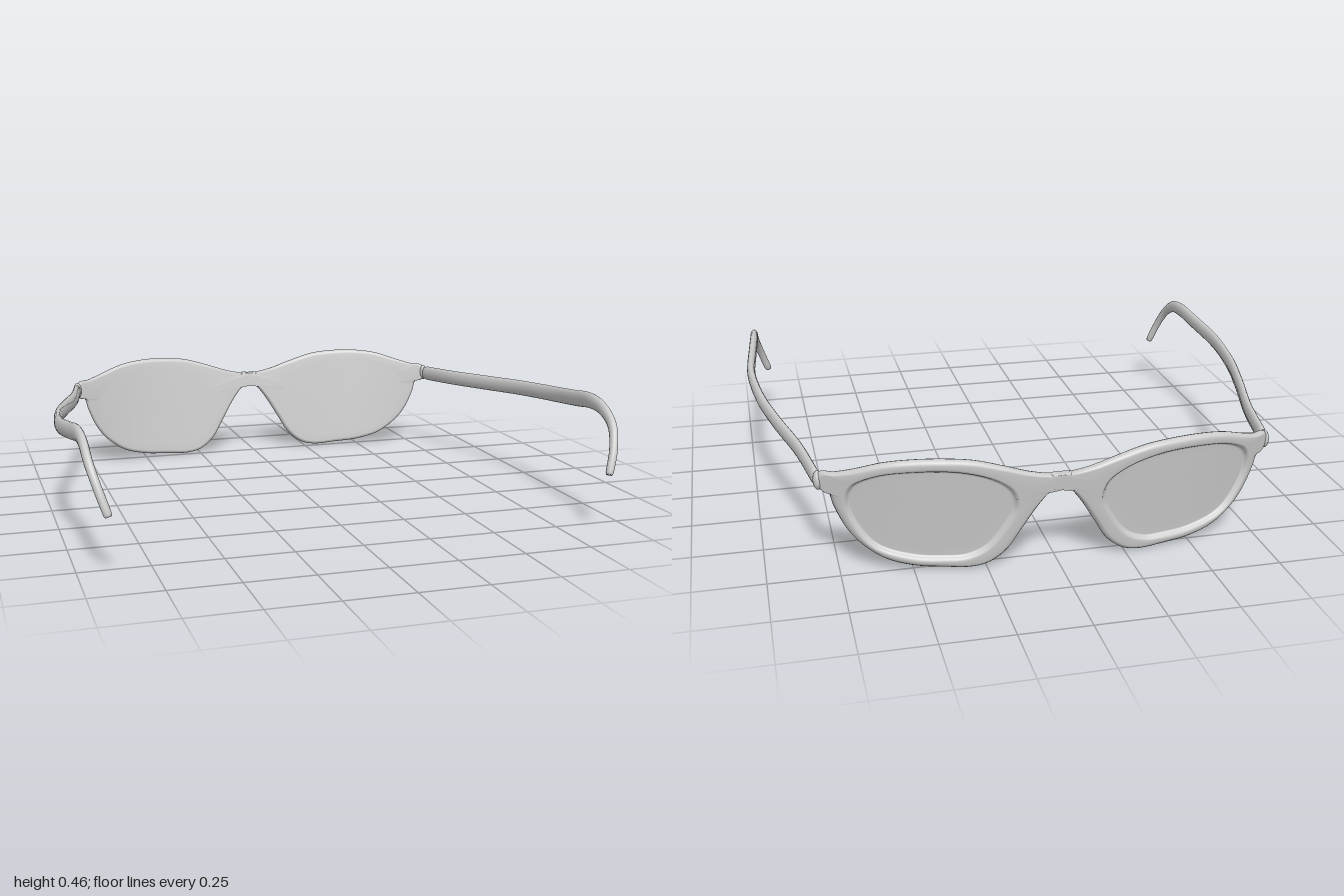
import * as THREE from 'three';

const material = new THREE.MeshStandardMaterial({ color: 0xcccccc, side: THREE.DoubleSide });

// Closed smooth curve through [x, y] points
function smoothLoop(points, count) {
  const curve = new THREE.CatmullRomCurve3(points.map(([x, y]) => new THREE.Vector3(x, y, 0)), true);
  return curve.getSpacedPoints(count).slice(0, count);
}

// Skin over closed rings of equal length; side = -1 mirrors it across x
function loft(rings, side, name) {
  const n = rings[0].length;
  const positions = rings.flatMap((ring) => ring.flatMap((p) => [p.x * side, p.y, p.z]));
  const index = [];
  for (let i = 0; i < rings.length - 1; i++) {
    for (let j = 0; j < n; j++) {
      const a = i * n + j, b = i * n + (j + 1) % n, c = a + n, d = b + n;
      if (side > 0) index.push(a, b, c, b, d, c);
      else index.push(a, c, b, b, c, d);
    }
  }
  const geometry = new THREE.BufferGeometry();
  geometry.setAttribute('position', new THREE.Float32BufferAttribute(positions, 3));
  geometry.setIndex(index);
  geometry.computeVertexNormals();
  const mesh = new THREE.Mesh(geometry, material);
  mesh.name = name;
  return mesh;
}

// Wrapped and tilted outer face of the glasses
const faceZ = (x, y) => -0.865 + 0.0885 * x * x + 0.228 * x ** 4 + 0.13 * (0.42 - y);

// One half of the frame, clockwise, running slightly past the middle of the bridge
const outline = smoothLoop([
  [-0.04, 0.35], [0.02, 0.35], [0.1, 0.365], [0.2, 0.398], [0.3, 0.427], [0.4, 0.438], [0.5, 0.438],
  [0.6, 0.425], [0.7, 0.393], [0.76, 0.376], [0.8, 0.372], [0.815, 0.34], [0.802, 0.306],
  [0.775, 0.298], [0.76, 0.25], [0.725, 0.17], [0.68, 0.11], [0.6, 0.05], [0.5, 0.02], [0.4, 0.01],
  [0.3, 0.004], [0.24, 0.018], [0.18, 0.065], [0.13, 0.145], [0.075, 0.235], [0.035, 0.285],
  [0.01, 0.3], [-0.04, 0.3],
], 180);

// Edge of the recessed lens
const lensEdge = smoothLoop([
  [0.17, 0.3], [0.23, 0.347], [0.35, 0.385], [0.5, 0.392], [0.62, 0.375], [0.7, 0.33], [0.715, 0.26],
  [0.68, 0.17], [0.62, 0.1], [0.5, 0.06], [0.4, 0.051], [0.32, 0.052], [0.25, 0.085], [0.18, 0.18],
  [0.155, 0.24],
], 120);
const center = new THREE.Vector3(0.42, 0.23, 0);

// Point of the lens edge on the ray from the centre towards a target
function lensPointTowards(target) {
  const d = target.clone().sub(center);
  for (let i = 0; i < lensEdge.length; i++) {
    const a = lensEdge[i].clone().sub(center);
    const b = lensEdge[(i + 1) % lensEdge.length].clone().sub(center);
    const ca = d.x * a.y - d.y * a.x, cb = d.x * b.y - d.y * b.x;
    if (ca * cb > 0 || ca === cb) continue;
    const hit = a.lerp(b, ca / (ca - cb));
    if (hit.dot(d) > 0) return hit.add(center);
  }
  return target.clone().lerp(center, 0.2);
}
const hole = outline.map(lensPointTowards);

// Rings run from the middle of the inner face, round the rim, to the middle of the outer face
function frontRings() {
  const ring = (place, depth) => outline.map((o, i) => {
    const p = place(o, hole[i]);
    p.z = faceZ(p.x, p.y) + depth;
    return p;
  });
  const lens = (s, depth) => ring((o, h) => center.clone().lerp(h, s), depth);
  const inset = (dist, depth) => ring((o, h) =>
    o.clone().lerp(h, Math.min(dist / o.distanceTo(h), 0.45)), depth);
  const outset = (dist, depth) => ring((o, h) =>
    h.clone().lerp(o, Math.min(dist / o.distanceTo(h), 0.45)), depth);
  const steps = [0, 0.2, 0.4, 0.6, 0.8, 0.96];
  return [
    ...steps.map((s) => lens(s, 0.039)),
    lens(1, 0.039),
    inset(0.016, 0.039), inset(0.009, 0.037), inset(0.003, 0.031), inset(0, 0.022),
    inset(0.003, 0.011), inset(0.009, 0.004), inset(0.018, 0),
    outset(0.014, 0), outset(0.006, 0.003), outset(0.001, 0.01), lens(0.985, 0.018),
    ...steps.reverse().map((s) => lens(s, 0.019)),
  ];
}

// Temple arm: oval section along a curve that hooks down behind the ear
function templeRings() {
  const path = new THREE.CatmullRomCurve3([
    [0.808, 0.336, -0.665], [0.85, 0.35, -0.43], [0.91, 0.364, -0.2], [0.955, 0.378, 0], [0.98, 0.392, 0.2],
    [0.983, 0.4, 0.3], [0.97, 0.418, 0.46], [0.957, 0.434, 0.6], [0.953, 0.422, 0.69],
    [0.948, 0.375, 0.77], [0.928, 0.3, 0.82], [0.9, 0.212, 0.847],
  ].map((p) => new THREE.Vector3(...p)));
  const rings = [];
  const addRing = (t, scale) => {
    const c = path.getPointAt(t), tangent = path.getTangentAt(t);
    const across = new THREE.Vector3(1, 0, 0).addScaledVector(tangent, -tangent.x).normalize();
    const up = tangent.clone().cross(across);
    const taper = THREE.MathUtils.smoothstep(t, 0.72, 1);
    const w = (0.016 - 0.001 * taper) * scale;
    const h = (0.031 - 0.017 * taper) * scale;
    rings.push(Array.from({ length: 16 }, (_, k) => {
      const a = (k / 16) * Math.PI * 2;
      return c.clone().addScaledVector(across, Math.cos(a) * w).addScaledVector(up, Math.sin(a) * h);
    }));
  };
  addRing(0, 0);
  addRing(0, 0.85);
  for (let i = 1; i < 64; i++) addRing(i / 64, 1);
  addRing(0.995, 0.95);
  addRing(1, 0.75);
  addRing(1, 0);
  return rings;
}

export function createModel() {
  const model = new THREE.Group();
  model.name = 'glasses';
  const front = frontRings();
  const temple = templeRings();
  for (const side of [1, -1]) {
    const label = side > 0 ? 'left' : 'right';
    model.add(loft(front, side, label + 'FrameAndLens'));
    model.add(loft(temple, side, label + 'Temple'));
    // Rounded hinge joining frame and temple
    const hinge = new THREE.Mesh(new THREE.SphereGeometry(0.034, 20, 14), material);
    hinge.name = label + 'Hinge';
    hinge.scale.set(0.5, 1, 0.75);
    hinge.position.set(side * 0.805, 0.337, -0.678);
    model.add(hinge);
  }
  return model;
}
